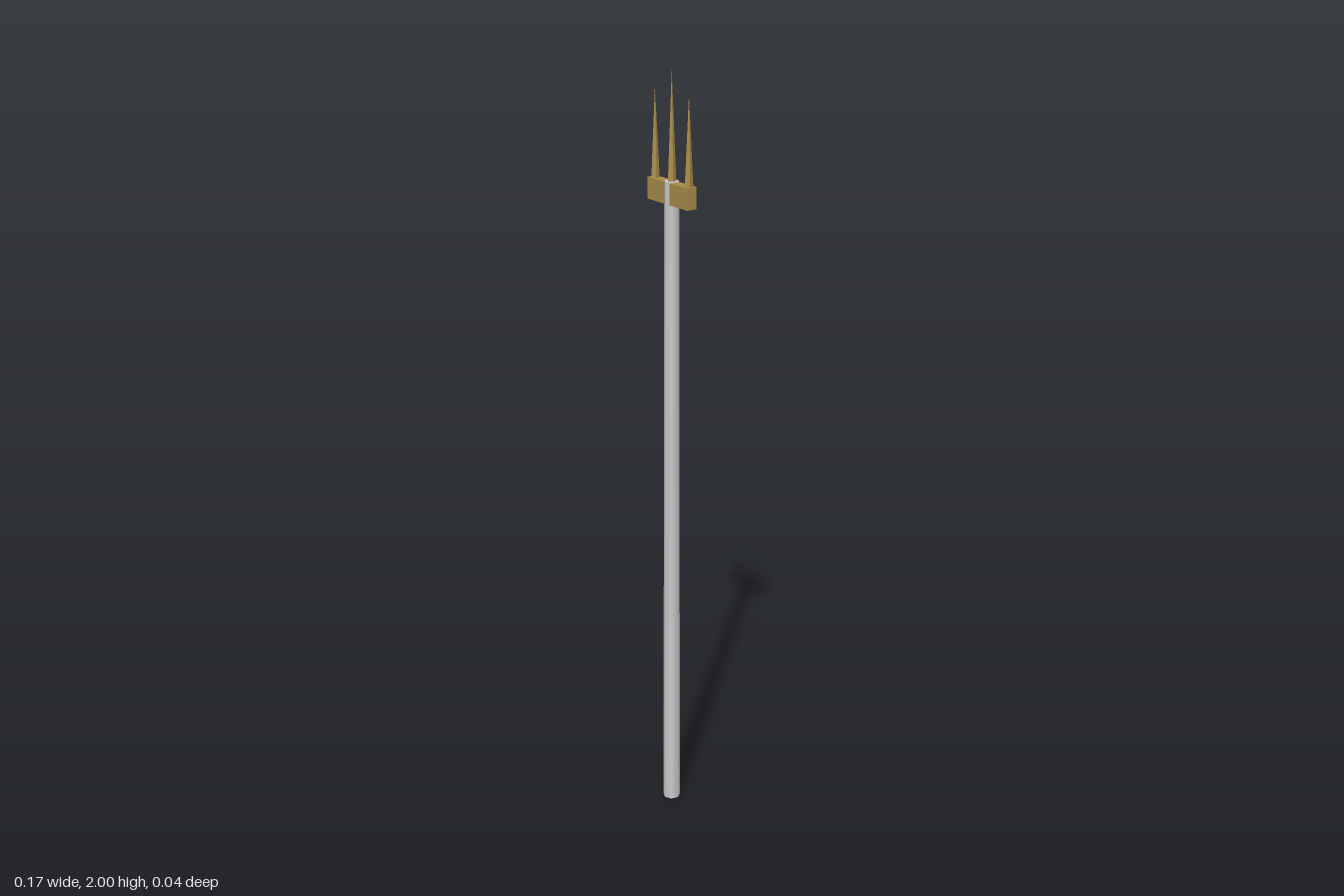
import * as THREE from 'three';

export function createModel() {
  const model = new THREE.Group();
  model.name = 'trident';
  const zMid = -0.001;
  const shaftMaterial = new THREE.MeshStandardMaterial({ color: 0xcccccc });
  const brass = new THREE.MeshStandardMaterial({ color: 0xa88c48, flatShading: true });

  function add(name, geometry, material, x, y) {
    const mesh = new THREE.Mesh(geometry, material);
    mesh.name = name;
    mesh.position.set(x, y, zMid);
    model.add(mesh);
  }

  // Seven-sided shaft, tapering towards the head
  const shaftHeight = 1.73;
  add('shaft', new THREE.CylinderGeometry(0.019, 0.0235, shaftHeight, 7), shaftMaterial, 0, shaftHeight / 2);

  // Crossbar holding the prongs
  add('crossbar', new THREE.BoxGeometry(0.166, 0.055, 0.028), brass, 0, 1.7);

  // Five-sided prongs, the middle one longest
  const prongBase = 1.727;
  const prongs = [['rightProng', -0.069, 1.95], ['middleProng', 0, 2], ['leftProng', 0.069, 1.95]];
  for (const [name, x, tip] of prongs) {
    const height = tip - prongBase;
    add(name, new THREE.ConeGeometry(0.0115, height, 5), brass, x, prongBase + height / 2);
  }

  return model;
}
